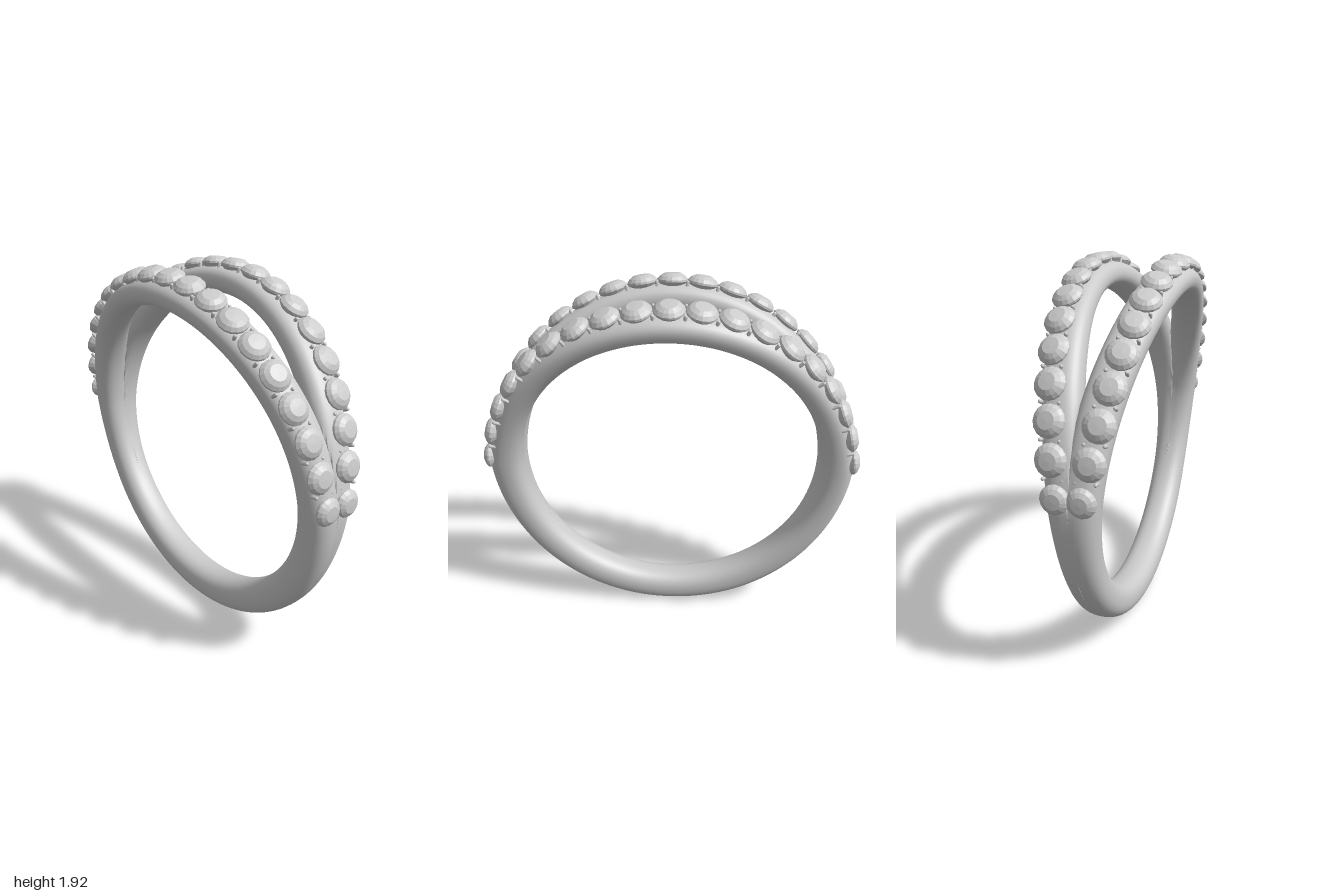
import * as THREE from 'three';
import { mergeGeometries, toCreasedNormals } from 'three/addons/utils/BufferGeometryUtils.js';

const CY = 0.965; // height of the ring's axis
const rad = THREE.MathUtils.degToRad;
const material = new THREE.MeshStandardMaterial({ color: 0xcccccc, roughness: 0.5 });
const facetMaterial = new THREE.MeshStandardMaterial({ color: 0xcccccc, roughness: 0.4, flatShading: true });

// Outward and sideways directions at angle a from the top; strands lean out towards the top
function frame(a, side) {
  const t = rad(12) * Math.max(0, Math.cos(a));
  const n = new THREE.Vector3(side * Math.sin(t), Math.cos(t) * Math.cos(a), Math.cos(t) * Math.sin(a));
  const l = new THREE.Vector3(side * Math.cos(t), -Math.sin(t) * Math.cos(a), -Math.sin(t) * Math.sin(a));
  return { n, l };
}

// One half of the band: a swept rounded section that parts from the middle plane as it rises
function strandGeometry(side) {
  const SEG = 144, SIDES = 32, positions = [], index = [];
  const round = (v) => Math.sign(v) * Math.abs(v) ** 0.85;
  for (let i = 0; i < SEG; i++) {
    const a = (i / SEG) * Math.PI * 2, c = Math.max(0, Math.cos(a));
    const outer = 0.965 - 0.068 * c ** 0.75, inner = 0.785 - 0.02 * c;
    const mid = (outer + inner) / 2, half = (outer - inner) / 2;
    const y = CY + mid * Math.cos(a);
    const centre = new THREE.Vector3(side * 0.105 * Math.max(0, y - 0.45) ** 2, y, mid * Math.sin(a));
    const { n, l } = frame(a, side);
    for (let j = 0; j < SIDES; j++) {
      const p = (j / SIDES) * Math.PI * 2;
      const v = centre.clone()
        .addScaledVector(l, 0.094 * round(Math.cos(p)))
        .addScaledVector(n, half * round(Math.sin(p)));
      // stop at the middle plane, where the two halves join
      positions.push(side * Math.max(0, side * v.x), v.y, v.z);
      const i2 = (i + 1) % SEG, j2 = (j + 1) % SIDES;
      const A = i * SIDES + j, B = i * SIDES + j2, C = i2 * SIDES + j2, D = i2 * SIDES + j;
      if (side > 0) index.push(A, B, C, A, C, D);
      else index.push(A, C, B, A, D, C);
    }
  }
  const g = new THREE.BufferGeometry();
  g.setAttribute('position', new THREE.Float32BufferAttribute(positions, 3));
  g.setIndex(index);
  return g;
}

// Point on the line of stones, with its radius from the ring's axis
function stonePoint(a, side) {
  const r = 0.965 - 0.055 * Math.sqrt(Math.max(0, Math.cos(a)));
  const y = CY + r * Math.cos(a);
  return new THREE.Vector3(side * (0.06 + 0.163 * (y - 1)), y, r * Math.sin(a));
}

const stoneAngle = (i) => rad(9.4 * i + 0.04 * i * Math.abs(i));

export function createModel() {
  const model = new THREE.Group();
  model.name = 'splitBandRing';

  // Band: both halves joined into one smooth surface
  const band = new THREE.Mesh(
    toCreasedNormals(mergeGeometries([strandGeometry(1), strandGeometry(-1)]), 0.6), material);
  band.name = 'splitBand';
  model.add(band);

  // Round cut stone: pointed base, thin girdle, faceted crown and flat table
  const stoneGeometry = new THREE.LatheGeometry(
    [[0, -0.06], [0.055, -0.026], [0.075, -0.006], [0.075, 0.004], [0.062, 0.02], [0.04, 0.033], [0, 0.035]]
      .map(([x, y]) => new THREE.Vector2(x, y)), 16);
  const prongGeometry = new THREE.CapsuleGeometry(0.009, 0.03, 3, 8);
  const up = new THREE.Vector3(0, 1, 0);

  for (const side of [1, -1]) {
    const row = new THREE.Group();
    row.name = side > 0 ? 'leftStoneRow' : 'rightStoneRow';
    for (let i = -9; i <= 9; i++) {
      const a = stoneAngle(i);
      const stone = new THREE.Mesh(stoneGeometry, facetMaterial);
      stone.name = 'stone';
      stone.position.copy(stonePoint(a, side));
      stone.quaternion.setFromUnitVectors(up, frame(a, side).n);
      if (Math.abs(i) === 9) stone.scale.setScalar(0.92);
      row.add(stone);

      // Pair of prongs in the gap before the next stone
      if (i === 9) continue;
      const b = (a + stoneAngle(i + 1)) / 2;
      const { n, l } = frame(b, side);
      for (const s of [1, -1]) {
        const prong = new THREE.Mesh(prongGeometry, material);
        prong.name = 'prong';
        prong.position.copy(stonePoint(b, side)).addScaledVector(l, s * 0.045).addScaledVector(n, -0.018);
        prong.quaternion.setFromUnitVectors(up, n);
        row.add(prong);
      }
    }
    model.add(row);
  }
  return model;
}
